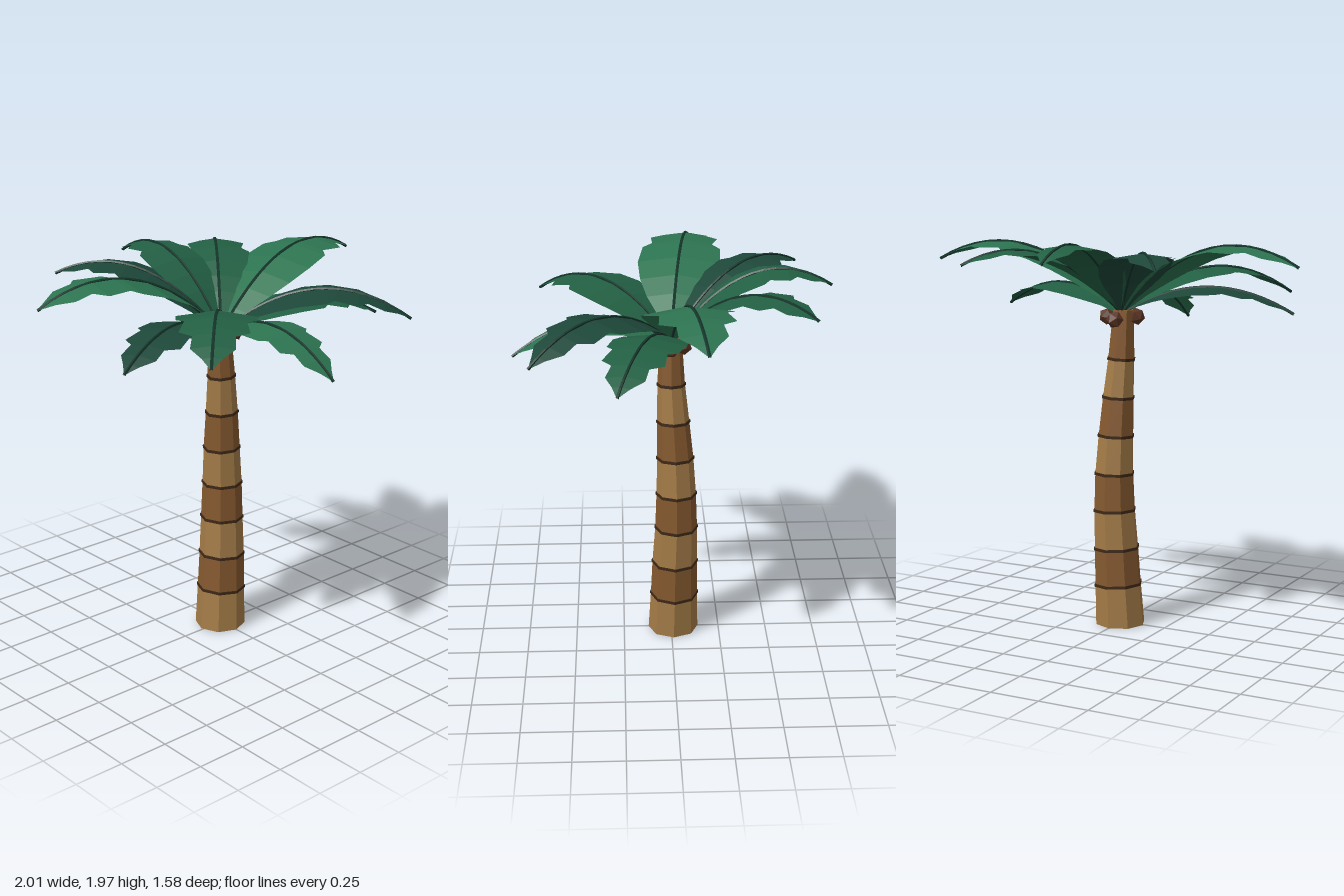
import * as THREE from 'three';

const material = (color, side = THREE.FrontSide) =>
  new THREE.MeshStandardMaterial({ color, flatShading: true, side });

const barkColors = [0xa37b47, 0x85592f];
const greens = { light: 0x2c7350, mid: 0x225f43, dark: 0x1d4739 };

// Trunk levels: height, centre x, centre z, radius
const levels = [
  [0, 0, -0.01, 0.13], [0.21, 0.01, -0.015, 0.122], [0.4, 0.018, -0.018, 0.116],
  [0.6, 0.025, -0.025, 0.108], [0.79, 0.027, -0.025, 0.101], [0.985, 0.02, -0.02, 0.092],
  [1.18, 0.012, -0.01, 0.081], [1.375, 0, 0, 0.069], [1.62, -0.012, 0.002, 0.055],
];

// Half leaf outline: distance along the rib, half width (both per unit length)
const outline = [
  [0, 0.012], [0.1, 0.07], [0.2, 0.14], [0.3, 0.185], [0.42, 0.21], [0.56, 0.2],
  [0.6, 0.155], [0.72, 0.175], [0.77, 0.105], [0.86, 0.11], [0.93, 0.05], [1, 0],
];

// Fronds: tip x, tip y, tip z, arch control height, colour
const fronds = [
  [1, 1.86, -0.13, 2.14, 'light'], [-1, 1.86, -0.13, 2.14, 'light'],
  [0, 1.88, -0.785, 2.14, 'mid'],
  [0.52, 1.86, -0.66, 2.08, 'mid'], [-0.52, 1.86, -0.66, 2.08, 'dark'],
  [0.82, 1.61, 0.27, 1.875, 'mid'], [-0.82, 1.61, 0.27, 1.875, 'dark'],
  [0.645, 1.69, 0.67, 2.01, 'dark'], [-0.645, 1.69, 0.67, 2.01, 'mid'],
  [0, 1.53, 0.785, 1.855, 'light'],
];

// Tapered segment that leans from one level to the next
function trunkSegment([y0, x0, z0, r0], [y1, x1, z1, r1], color) {
  const h = y1 - y0;
  const geo = new THREE.CylinderGeometry(r1, r0, h, 8);
  const p = geo.attributes.position;
  for (let i = 0; i < p.count; i++) {
    const t = p.getY(i) / h + 0.5;
    p.setXYZ(i, p.getX(i) + x0 + (x1 - x0) * t, y0 + h * t, p.getZ(i) + z0 + (z1 - z0) * t);
  }
  geo.computeVertexNormals();
  return new THREE.Mesh(geo, material(color));
}

function makeFrond([tx, ty, tz, archY, tone]) {
  const group = new THREE.Group();
  group.name = 'frond';
  const curve = new THREE.QuadraticBezierCurve3(
    new THREE.Vector3(0, 1.6, 0),
    new THREE.Vector3(tx * 0.5, archY, tz * 0.5),
    new THREE.Vector3(tx, ty, tz));
  const length = Math.hypot(tx, tz);
  const side = new THREE.Vector3(-tz / length, 0, tx / length);

  // Blade: left edge, rib, right edge at every station; edges droop slightly
  const pos = [], index = [];
  outline.forEach(([u, w], i) => {
    const c = curve.getPoint(u);
    for (const s of [-1, 0, 1]) {
      const v = c.clone().addScaledVector(side, s * w * length);
      if (s) v.y -= w * length * 0.15;
      pos.push(v.x, v.y, v.z);
    }
    if (i === outline.length - 1) return;
    const a = i * 3, b = a + 3;
    index.push(a, a + 1, b + 1, a, b + 1, b);
    index.push(a + 1, a + 2, b + 2, a + 1, b + 2, b + 1);
  });
  const geo = new THREE.BufferGeometry();
  geo.setAttribute('position', new THREE.Float32BufferAttribute(pos, 3));
  geo.setIndex(index.reverse());
  geo.computeVertexNormals();
  const blade = new THREE.Mesh(geo, material(greens[tone], THREE.DoubleSide));
  blade.name = 'blade';

  const rib = new THREE.Mesh(new THREE.TubeGeometry(curve, 16, 0.008, 5), material(0x14352a));
  rib.name = 'midrib';
  group.add(blade, rib);
  return group;
}

export function createModel() {
  const model = new THREE.Group();
  model.name = 'palmTree';

  // Trunk in alternating bark tones with a dark ring at each joint
  const trunk = new THREE.Group();
  trunk.name = 'trunk';
  for (let i = 0; i < levels.length - 1; i++) {
    const segment = trunkSegment(levels[i], levels[i + 1], barkColors[i % 2]);
    segment.name = 'trunkSegment';
    trunk.add(segment);
    if (i === 0) continue;
    const [y, x, z, r] = levels[i];
    const ring = new THREE.Mesh(
      new THREE.CylinderGeometry(r + 0.005, r + 0.005, 0.014, 8), material(0x3d2817));
    ring.position.set(x, y, z);
    ring.rotation.z = -(levels[i + 1][1] - levels[i - 1][1]) / 0.39;
    ring.name = 'trunkRing';
    trunk.add(ring);
  }
  model.add(trunk);

  // Coconuts under the crown
  [[-0.075, 1.59, 0.02], [0.08, 1.585, 0.005], [0.005, 1.575, -0.06]].forEach(([x, y, z], i) => {
    const nut = new THREE.Mesh(new THREE.IcosahedronGeometry(0.045, 0), material(0x5b3524));
    nut.position.set(x, y, z);
    nut.rotation.set(i * 0.7, i * 1.3, 0.3);
    nut.name = 'coconut';
    model.add(nut);
  });

  // Crown
  const crown = new THREE.Group();
  crown.name = 'crown';
  fronds.forEach((f) => crown.add(makeFrond(f)));
  model.add(crown);
  return model;
}
